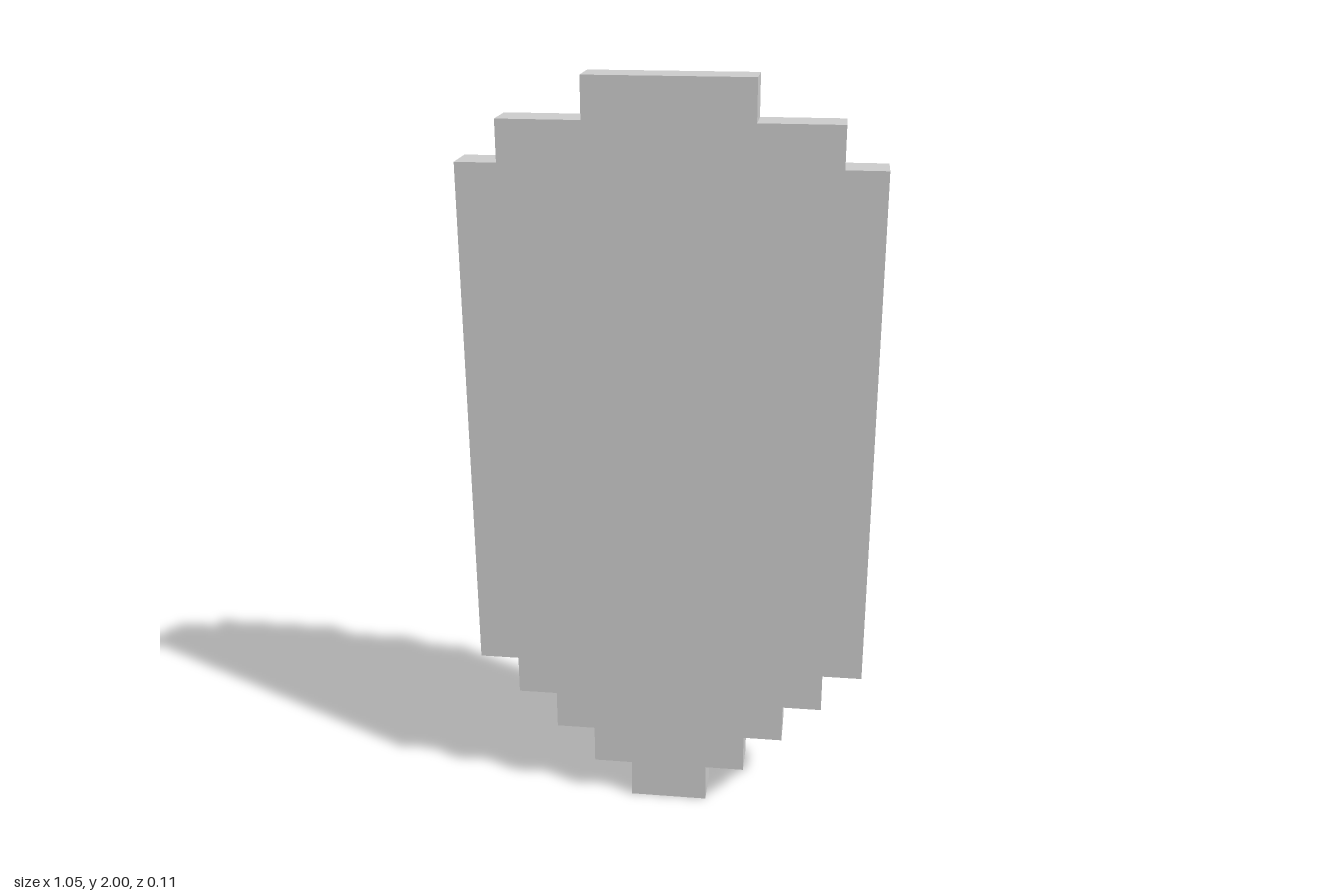
import * as THREE from 'three';

// The outline is stepped on a square grid, 19 cells tall and one cell thick
const CELL = 2 / 19;

// Each step, bottom to top: [half width, top height] in cells
const STEPS = [[1, 1], [2, 2], [3, 3], [4, 4], [5, 17], [4, 18], [2, 19]];

export function createModel() {
  const group = new THREE.Group();
  group.name = 'steppedShield';

  // Right-hand edge of the outline, climbing the steps
  const edge = [];
  let bottom = 0;
  for (const [halfWidth, top] of STEPS) {
    edge.push([halfWidth, bottom], [halfWidth, top]);
    bottom = top;
  }

  // Mirror the edge to close the outline
  const mirrored = edge.map(([x, y]) => [-x, y]).reverse();
  const outline = [...edge, ...mirrored].map(([x, y]) => new THREE.Vector2(x * CELL, y * CELL));

  // Flat plate, centred on z
  const geometry = new THREE.ExtrudeGeometry(new THREE.Shape(outline), { depth: CELL, bevelEnabled: false });
  geometry.translate(0, 0, -CELL / 2);

  const plate = new THREE.Mesh(geometry, new THREE.MeshStandardMaterial({ color: 0xcccccc, flatShading: true }));
  plate.name = 'shieldPlate';
  group.add(plate);
  return group;
}
